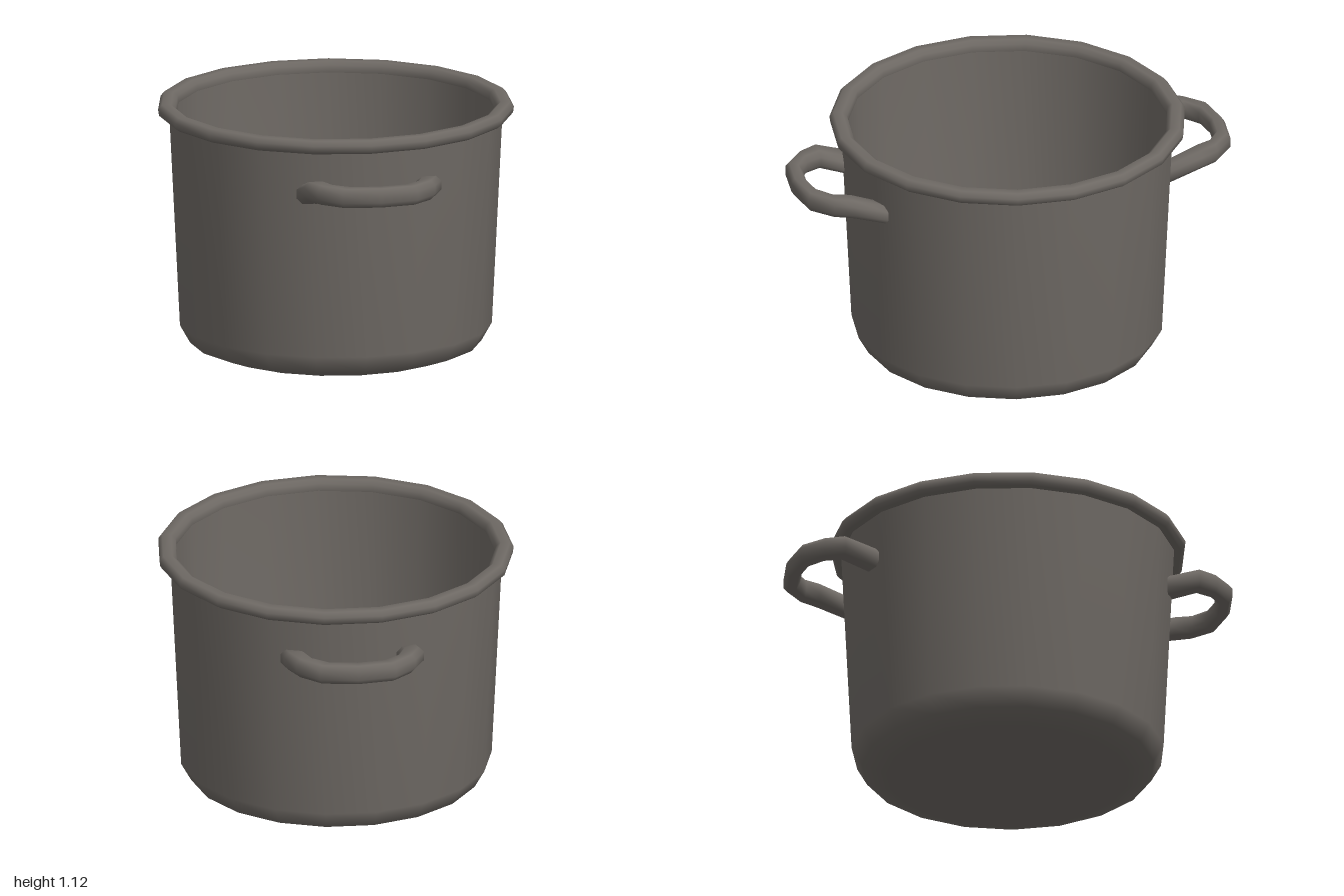
import * as THREE from 'three';

const SIDES = 19;

function lathe(name, profile, material) {
  const points = profile.map(([r, y]) => new THREE.Vector2(r, y));
  const mesh = new THREE.Mesh(new THREE.LatheGeometry(points, SIDES), material);
  mesh.name = name;
  return mesh;
}

// Handle swept through stations: outer x/z, inner x/z, centre height
function handleGeometry() {
  const half = [
    [0.31, 0.65, 0.20, 0.685, 0.865],
    [0.31, 0.80, 0.20, 0.80, 0.912],
    [0.265, 0.885, 0.175, 0.87, 0.912],
    [0.17, 0.975, 0.11, 0.915, 0.912],
  ];
  const mirrored = half.map(([ox, oz, ix, iz, y]) => [-ox, oz, -ix, iz, y]).reverse();
  const stations = [...half, [0, 1, 0, 0.93, 0.912], ...mirrored];

  // Rounded section: fraction from inner to outer edge, height offset
  const section = [
    [0, -0.02], [0, 0.02], [0.22, 0.043], [0.78, 0.043],
    [1, 0.02], [1, -0.02], [0.78, -0.043], [0.22, -0.043],
  ];
  const n = section.length;
  const positions = [];
  const index = [];
  stations.forEach(([ox, oz, ix, iz, y], i) => {
    for (const [t, dy] of section) {
      positions.push(ix + (ox - ix) * t, y + dy, iz + (oz - iz) * t);
    }
    if (i === stations.length - 1) return;
    for (let j = 0; j < n; j++) {
      const a = i * n + j;
      const b = i * n + (j + 1) % n;
      index.push(a, a + n, b, b, a + n, b + n);
    }
  });
  const geometry = new THREE.BufferGeometry();
  geometry.setAttribute('position', new THREE.Float32BufferAttribute(positions, 3));
  geometry.setIndex(index);
  geometry.computeVertexNormals();
  return geometry;
}

export function createModel() {
  const model = new THREE.Group();
  model.name = 'cookingPot';
  const metal = new THREE.MeshStandardMaterial({ color: 0x6e6964, side: THREE.DoubleSide });
  metal.name = 'warm grey metal';

  // Outer shell and hollow interior
  model.add(lathe('outerWall', [
    [0, 0], [0.535, 0], [0.645, 0.04], [0.69, 0.12], [0.737, 1.075],
  ], metal));
  model.add(lathe('innerWall', [
    [0.708, 1.085], [0.668, 0.14], [0.62, 0.065], [0.52, 0.03], [0, 0.03],
  ], metal));

  // Rolled rim
  model.add(lathe('rim', [
    [0.715, 1.06], [0.765, 1.06], [0.783, 1.073], [0.787, 1.1],
    [0.77, 1.121], [0.73, 1.121], [0.71, 1.105], [0.706, 1.075], [0.715, 1.06],
  ], metal));

  // Loop handles, front and back
  const geometry = handleGeometry();
  ['frontHandle', 'backHandle'].forEach((name, i) => {
    const handle = new THREE.Mesh(geometry, metal);
    handle.name = name;
    handle.rotation.y = i * Math.PI;
    model.add(handle);
  });

  return model;
}
